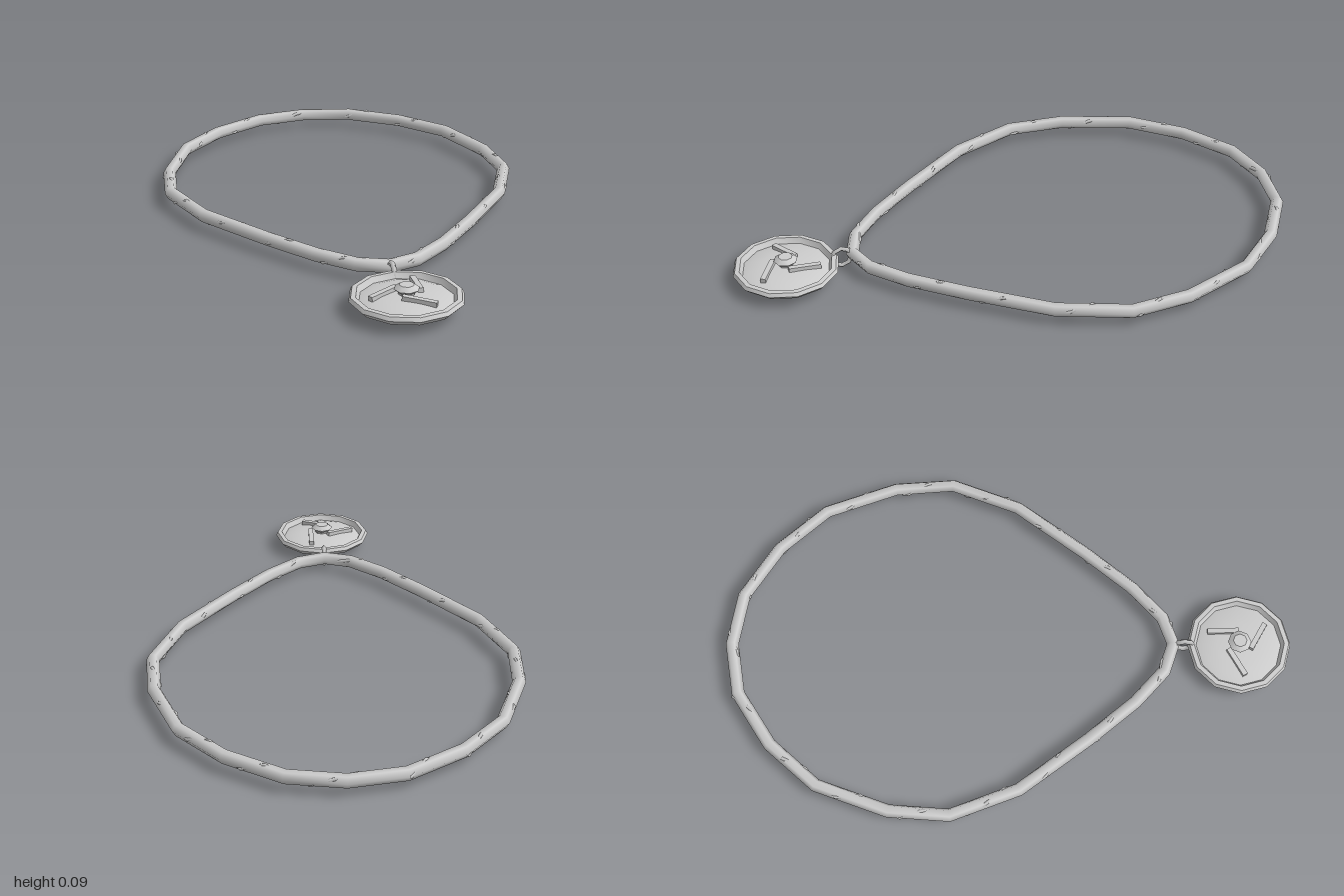
import * as THREE from 'three';
import { toCreasedNormals } from 'three/addons/utils/BufferGeometryUtils.js';

const metal = new THREE.MeshStandardMaterial({ color: 0xcccccc });
metal.name = 'light grey metal';

const UP = new THREE.Vector3(0, 1, 0);

// Closed tube swept through a loop of points
function sweepLoop(points, radius, sides) {
  const n = points.length, pos = [], index = [];
  for (let i = 0; i < n; i++) {
    const tangent = points[(i + 1) % n].clone().sub(points[(i + n - 1) % n]).normalize();
    const side = tangent.clone().cross(UP).normalize();
    const up = side.clone().cross(tangent);
    for (let j = 0; j < sides; j++) {
      const a = (j / sides) * Math.PI * 2;
      const p = points[i].clone()
        .addScaledVector(side, Math.cos(a) * radius)
        .addScaledVector(up, Math.sin(a) * radius);
      pos.push(p.x, p.y, p.z);
      const i2 = (i + 1) % n, j2 = (j + 1) % sides;
      const A = i * sides + j, B = i2 * sides + j, C = i * sides + j2, D = i2 * sides + j2;
      index.push(A, B, C, B, D, C);
    }
  }
  const g = new THREE.BufferGeometry();
  g.setAttribute('position', new THREE.Float32BufferAttribute(pos, 3));
  g.setIndex(index);
  g.computeVertexNormals();
  return g;
}

function lathe(profile, segments) {
  return new THREE.LatheGeometry(profile.map(([r, y]) => new THREE.Vector2(r, y)), segments);
}

function add(parent, name, geometry, x = 0, y = 0, z = 0) {
  const mesh = new THREE.Mesh(geometry, metal);
  mesh.name = name;
  mesh.position.set(x, y, z);
  parent.add(mesh);
  return mesh;
}

export function createModel() {
  const model = new THREE.Group();
  model.name = 'necklace';

  // Cord: half outline from the back to the front, mirrored
  const half = [[0, -0.977], [0.185, -0.945], [0.37, -0.825], [0.515, -0.66], [0.605, -0.41],
    [0.62, -0.2], [0.53, 0.037], [0.35, 0.28], [0.215, 0.445], [0.1, 0.55], [0, 0.585]];
  const mirrored = half.slice(1, -1).reverse().map(([x, z]) => [-x, z]);
  const loop = [...half, ...mirrored].map(([x, z]) => new THREE.Vector3(x, 0.05, z)).reverse();
  add(model, 'cord', sweepLoop(loop, 0.023, 6));

  // Coarse strand wound round the cord: only its corners break the surface
  const path = new THREE.CurvePath();
  loop.forEach((p, i) => path.add(new THREE.LineCurve3(p, loop[(i + 1) % loop.length])));
  const turns = 17, steps = 57, coil = [];
  for (let i = 0; i < steps; i++) {
    const u = i / steps, a = u * turns * Math.PI * 2;
    const side = path.getTangentAt(u).cross(UP).normalize();
    coil.push(path.getPointAt(u)
      .addScaledVector(side, Math.cos(a) * 0.021)
      .addScaledVector(UP, Math.sin(a) * 0.021));
  }
  add(model, 'woundStrand', sweepLoop(coil, 0.006, 5));

  // Linking ring between cord and pendant
  const ring = add(model, 'linkRing', new THREE.TorusGeometry(0.034, 0.009, 4, 8), 0, 0.043, 0.624);
  ring.rotation.y = Math.PI / 2;

  // Pendant: domed floor inside a raised rim
  const pendant = new THREE.Group();
  pendant.name = 'pendant';
  pendant.position.set(0, 0, 0.817);
  model.add(pendant);
  const dish = lathe([[0.165, 0.03], [0.183, 0.048], [0.176, 0.06], [0.16, 0.061],
    [0.15, 0.042], [0.125, 0.05], [0.08, 0.057], [0, 0.06]], 12);
  add(pendant, 'dish', toCreasedNormals(dish, 0.6));

  // Hollowed back, its normals leaning inward so that it shades as a cone
  const back = lathe([[0, 0.04], [0.165, 0.03]], 12);
  const normals = back.attributes.normal;
  for (let i = 0; i < normals.count; i++) {
    const a = (Math.floor(i / 2) / 12) * Math.PI * 2;
    normals.setXYZ(i, -0.6 * Math.sin(a), -0.8, -0.6 * Math.cos(a));
  }
  add(pendant, 'dishBack', back);

  // Central faceted boss
  const boss = lathe([[0.026, 0.055], [0.028, 0.066], [0.041, 0.077], [0.024, 0.09], [0, 0.09]], 8);
  add(pendant, 'boss', toCreasedNormals(boss, 0.5));

  // Three bars in a pinwheel round the boss
  for (let i = 0; i < 3; i++) {
    const arm = new THREE.Group();
    arm.name = 'pinwheelArm';
    arm.rotation.y = (i * Math.PI * 2) / 3;
    const bar = add(arm, 'bar', new THREE.BoxGeometry(0.018, 0.02, 0.11), 0.045, 0.06, -0.055);
    bar.rotation.x = -0.06;
    pendant.add(arm);
  }

  return model;
}
